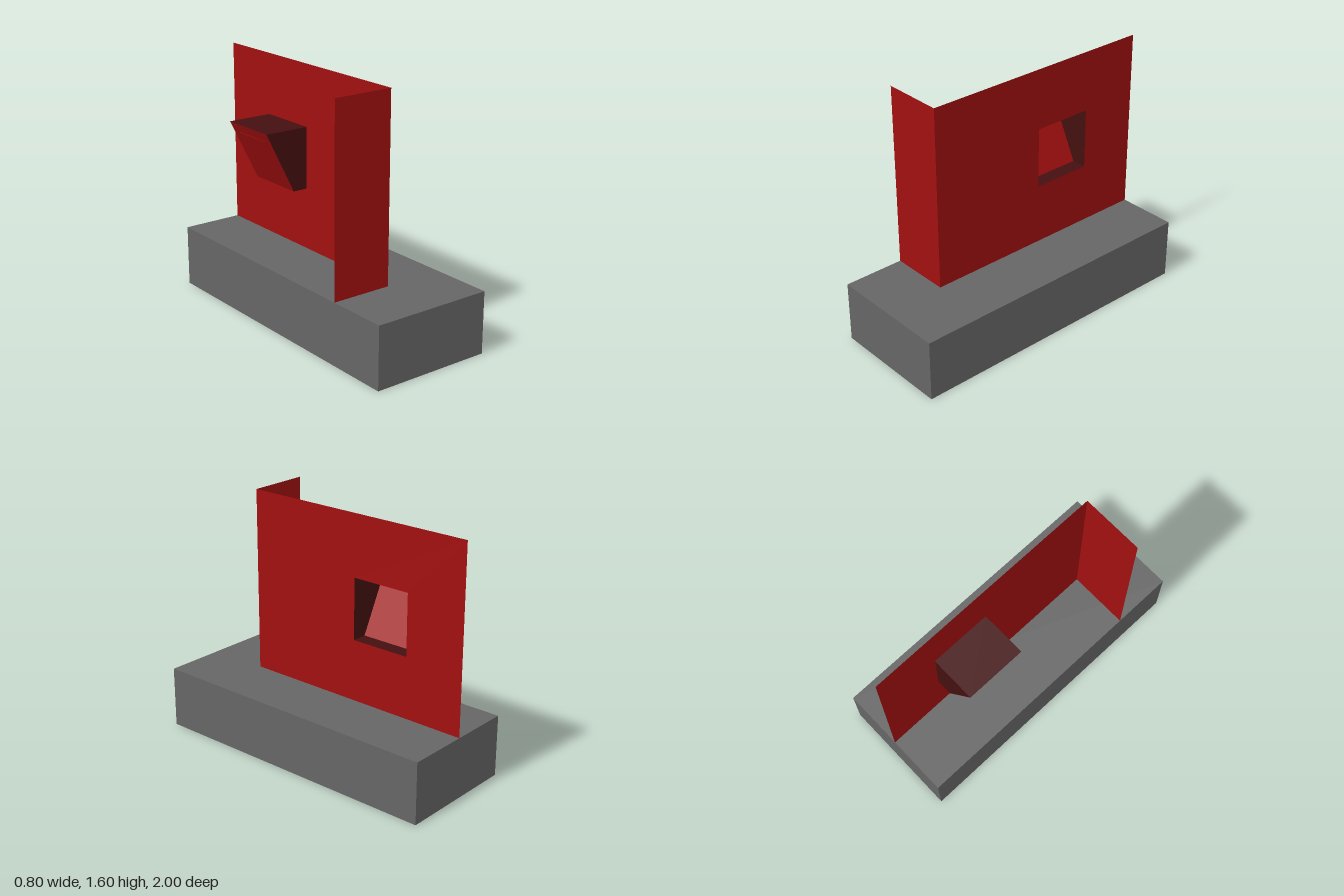
import * as THREE from 'three';

export function createModel() {
  const model = new THREE.Group();
  const mat = (name, color) => {
    const m = new THREE.MeshStandardMaterial({ color, side: THREE.DoubleSide });
    m.name = name;
    return m;
  };
  const grey = mat('base grey', 0x666666);
  const red = mat('panel red', 0xa31010);
  const darkRed = mat('recess dark red', 0x451010);

  const add = (name, geometry, material) => {
    const mesh = new THREE.Mesh(geometry, material);
    mesh.name = name;
    model.add(mesh);
    return mesh;
  };

  // Solid plinth
  add('base', new THREE.BoxGeometry(0.8, 0.4, 2), grey).position.y = 0.2;

  // Front sheet, open behind
  add('frontPanel', new THREE.PlaneGeometry(0.4, 1.2), red).position.set(-0.2, 1, 0.6);

  // Long sheet at x = 0 with a square opening (shape x runs along -z)
  const rect = (Type, x0, y0, x1, y1) => new Type([[x0, y0], [x1, y0], [x1, y1], [x0, y1]]
    .map(([x, y]) => new THREE.Vector2(x, y)));
  const wall = rect(THREE.Shape, -0.6, 0.4, 1, 1.6);
  wall.holes.push(rect(THREE.Path, 0.2, 0.8, 0.6, 1.2));
  add('sidePanel', new THREE.ShapeGeometry(wall).rotateY(Math.PI / 2), red);

  // Recess: roof, floor and two tapering cheeks
  const level = (depth) => new THREE.PlaneGeometry(depth, 0.4).rotateX(-Math.PI / 2);
  add('recessRoof', level(0.3).rotateX(Math.PI), darkRed).position.set(-0.15, 1.2, -0.4);
  add('recessFloor', level(0.1), darkRed).position.set(-0.05, 0.8, -0.4);
  const cheek = new THREE.Shape([[0, 0.8], [0, 1.2], [-0.3, 1.2], [-0.1, 0.8]]
    .map(([x, y]) => new THREE.Vector2(x, y)));
  for (const z of [-0.2, -0.6]) {
    add('recessCheek', new THREE.ShapeGeometry(cheek), darkRed).position.z = z;
  }

  // Sloping back of the recess with a thin plate on it
  const tilt = Math.atan2(0.2, 0.4);
  const slope = add('recessBack',
    new THREE.PlaneGeometry(0.4, Math.hypot(0.2, 0.4)).rotateY(Math.PI / 2), red);
  slope.position.set(-0.2, 1, -0.4);
  slope.rotation.z = tilt;
  const plate = add('recessPlate', new THREE.BoxGeometry(0.004, 0.31, 0.29), red);
  plate.position.set(-0.2, 1, -0.4);
  plate.rotation.z = tilt;

  return model;
}
